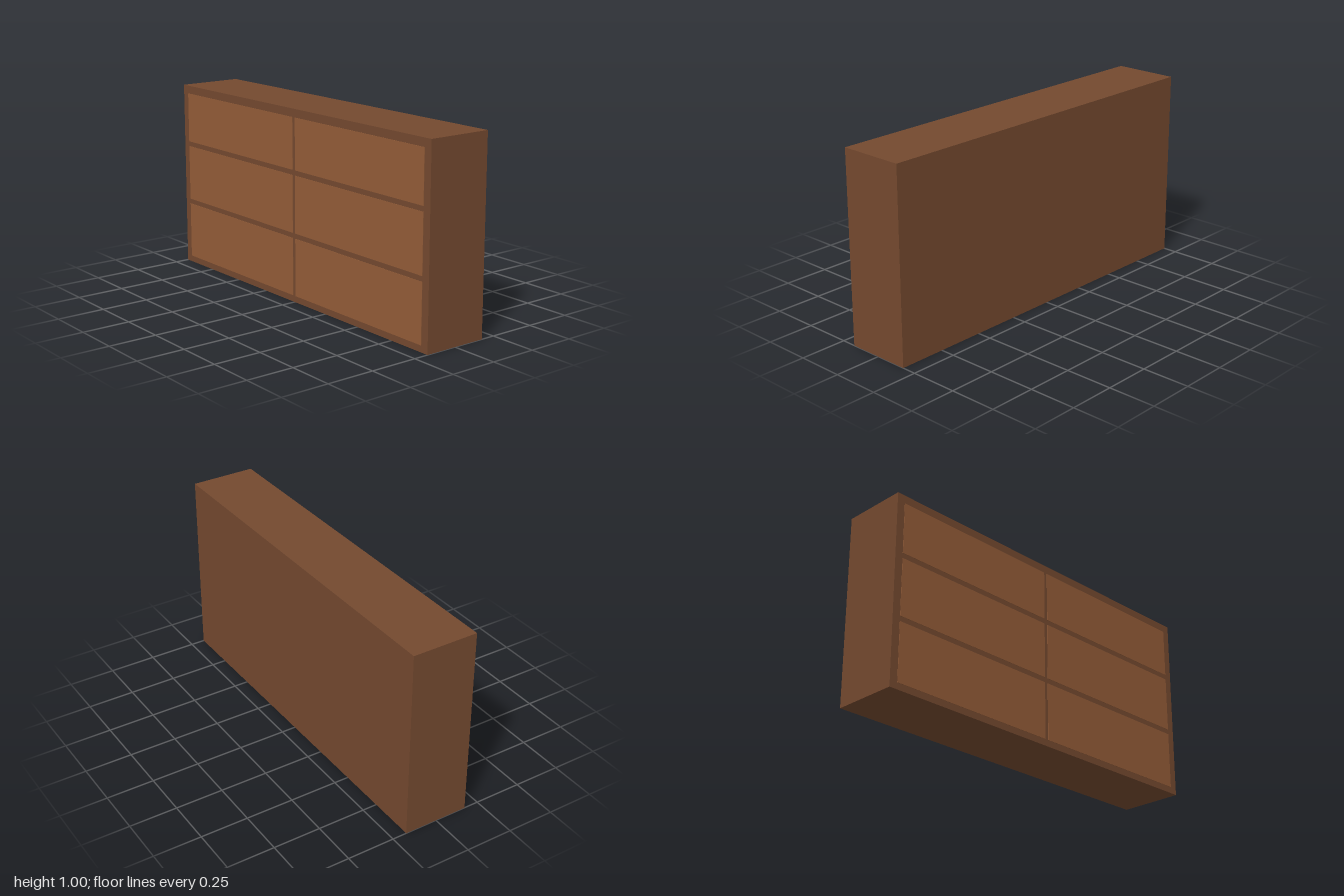
import * as THREE from 'three';

export function createModel() {
  const group = new THREE.Group();
  const frameWood = new THREE.MeshStandardMaterial({ color: 0x74492f });
  const drawerWood = new THREE.MeshStandardMaterial({ color: 0x935c38 });

  const box = (name, material, size, position) => {
    const mesh = new THREE.Mesh(new THREE.BoxGeometry(...size), material);
    mesh.name = name;
    mesh.position.set(...position);
    group.add(mesh);
  };

  // Solid cabinet body
  const depth = 0.346, proud = 0.002;
  box('cabinetBody', frameWood, [depth, 1, 2], [proud / 2, 0.5, 0]);

  // Drawer fronts on the -x side: three rows of two, nearly flush with the frame
  const rows = [[0.034, 0.337], [0.364, 0.663], [0.69, 0.957]];
  const inner = 0.01, outer = 0.957, thickness = 0.02;
  const faceX = proud / 2 - depth / 2 - proud;
  for (const [bottom, top] of rows) {
    for (const side of [-1, 1]) {
      box('drawerFront', drawerWood,
        [thickness, top - bottom, outer - inner],
        [faceX + thickness / 2, (bottom + top) / 2, side * (inner + outer) / 2]);
    }
  }
  return group;
}
